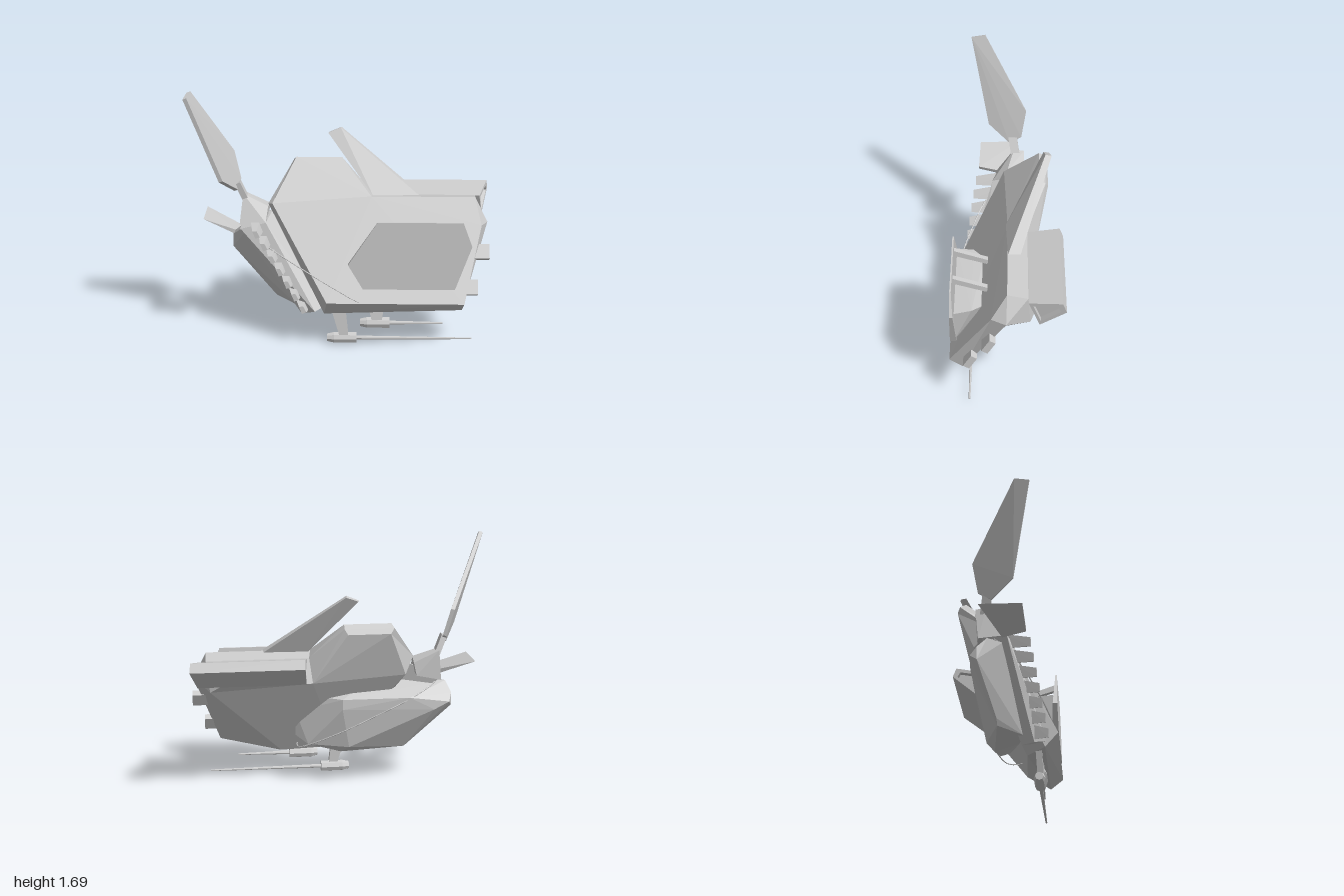
import * as THREE from 'three';
import { ConvexGeometry } from 'three/addons/geometries/ConvexGeometry.js';

const grey = new THREE.MeshStandardMaterial({ color: 0xcccccc, flatShading: true });

export function createModel() {
  const model = new THREE.Group();
  const add = (name, geometry) => {
    const mesh = new THREE.Mesh(geometry, grey);
    mesh.name = name;
    model.add(mesh);
    return mesh;
  };
  // Faceted solid through its corner points
  const solid = (name, points) => add(name, new ConvexGeometry(points.map(p => new THREE.Vector3(...p))));
  // Flat outline thickened by an offset vector
  const slab = (name, outline, offset) =>
    solid(name, [...outline, ...outline.map(p => p.map((c, i) => c + offset[i]))]);

  // Hull: three matching outlines from front to back
  add('hull', loft([
    [[-.46, .91, .02], [-.31, 1.168, -.215], [0, 1.168, -.215], [.2, .955, -.006],
      [.89, .955, -.006], [.93, .79, .094], [.81, .335, .366], [-.09, .335, .366]],
    [[-.49, .895, -.03], [-.325, 1.145, -.255], [0, 1.145, -.255], [.22, .93, -.135],
      [.895, .93, -.135], [.975, .785, 0], [.8, .262, .28], [-.11, .23, .28]],
    [[-.42, .8, -.15], [-.3, 1.11, -.272], [-.02, 1.11, -.272], [.2, .77, -.19],
      [.8, .77, -.19], [.87, .72, -.15], [.39, .207, .14], [0, .215, .16]],
  ]));

  // Shield on the sloping front, with its mount and two struts
  const hexagon = [[.05, .6], [.147, .435], [.745, .435], [.85, .73], [.79, .89], [.24, .89]];
  solid('shield', hexagon.flatMap(([x, y]) => [
    [x, y, .362 - (y - .435) * .02], [x, y, .32 + (y - .435) * .05]]));
  solid('shieldMount', [[.12, .69, .33], [.78, .7, .33], [.125, .685, .22], [.75, .7, .22],
    [.2, .68, .15], [.68, .68, .15], [.15, .45, .33], [.74, .45, .33], [.3, .5, .2], [.6, .5, .2]]);
  for (const x of [.295, .57]) {
    slab('shieldStrut', [[x, .84, .34], [x, .8, .34], [x, .73, .12], [x, .765, .12]], [.035, 0, 0]);
  }

  // Rear pod
  solid('pod', [[-.74, .65, -.1], [-.74, .565, -.1], [-.71, .72, -.04], [-.64, .72, .05],
    [-.72, .6, -.145], [-.45, .64, -.16], [0, .64, -.155], [0, .57, -.155], [-.62, .55, -.15],
    [.2, .64, -.03], [.3, .52, .015], [.3, .35, .03], [.22, .3, -.03], [0, .245, -.05],
    [-.05, .29, -.1], [-.44, .25, 0], [-.47, .285, 0], [-.3, .24, .15], [-.15, .24, .12], [-.2, .73, 0]]);

  // Slanted spine with its head block
  solid('spine', [[-.67, .75, .08], [-.5, .8, .1], [-.17, .245, .29], [-.26, .205, .22],
    [-.66, .75, -.08], [-.46, .85, -.05], [-.1, .255, .2], [-.25, .19, .14]]);
  solid('spineHead', [[-.66, .955, -.05], [-.65, .95, -.12], [-.49, .885, 0], [-.48, .87, -.12],
    [-.68, .75, .08], [-.5, .8, .1], [-.67, .74, -.1], [-.5, .78, -.12]]);

  // Row of wedge teeth along the spine
  for (let i = 0; i < 7; i++) {
    const x = -.56 + i * .051, y = .76 - i * .082, z = .22 + i * .015;
    solid('tooth', [
      ...[[-.042, .036], [.018, .04], [.046, -.02], [-.008, -.046]].map(([a, b]) => [x + a, y + b, z - .16 + i * .012]),
      ...[[-.02, .02], [.008, .022], [.03, -.02], [0, -.03]].map(([a, b]) => [x + a, y + b, z])]);
  }

  // Tall blade, its stem and the small winglet
  slab('tallBlade', [[-1, 1.665, .245], [-.985, 1.69, .15], [-.745, 1.225, -.133],
    [-.7, 1.04, -.1], [-.715, .985, -.015], [-.8, 1.085, .128]], [.025, .008, 0]);
  slab('bladeStem', [[-.71, 1.03, -.07], [-.71, 1.03, -.01], [-.66, .91, -.03], [-.66, .91, -.09]], [.035, .015, 0]);
  solid('winglet', [[-.905, .855, -.08], [-.9, .853, .19], [-.69, .785, .2], [-.7, .76, .2],
    [-.66, .77, .05], [-.67, .74, .05]]);

  // Upper fin, thicker at its root
  solid('upperFin', [[-.094, 1.33, -.24], [-.01, 1.365, -.25], [.515, .965, -.01], [.21, .965, .005],
    [-.085, 1.33, -.275], [-.005, 1.36, -.29], [.515, .965, -.09], [.22, .965, -.1]]);

  // Rear duct with slanted ends, recessed at both openings
  const profile = [[-.137, .924], [-.342, .975], [-.367, .915], [-.205, .77]];
  const opening = [[-.165, .908], [-.315, .944], [-.333, .91], [-.212, .8]];
  const ductEnds = z => [.93 - (z + .137) * .31, .235 - (z + .137) * .13];
  const ductShape = new THREE.Shape(profile.map(p => new THREE.Vector2(...p)));
  ductShape.holes.push(new THREE.Path(opening.map(p => new THREE.Vector2(...p))));
  const duct = new THREE.ExtrudeGeometry(ductShape, { depth: 1, bevelEnabled: false });
  const pos = duct.attributes.position;
  for (let i = 0; i < pos.count; i++) {
    const z = pos.getX(i);
    pos.setXYZ(i, THREE.MathUtils.lerp(...ductEnds(z), pos.getZ(i)), pos.getY(i), z);
  }
  duct.computeVertexNormals();
  add('rearDuct', duct);
  solid('ductCore', opening.flatMap(([z, y]) => {
    const [right, left] = ductEnds(z);
    return [[right - .04, y, z], [left + .04, y, z]];
  }));

  // Side nozzles
  for (const [x, y, z] of [[.905, .61, .11], [.825, .402, .23]]) {
    const nozzle = add('sideNozzle', new THREE.BoxGeometry(.16, .1, .045));
    nozzle.position.set(x, y, z);
    nozzle.rotation.x = -.54;
  }

  // Two guns hanging below: body, tail, barrel and pylon
  const rod = (name, r0, r1, x0, x1, y) => {
    const mesh = add(name, new THREE.CylinderGeometry(r1, r0, x1 - x0, 8));
    mesh.rotation.z = -Math.PI / 2;
    mesh.position.set((x0 + x1) / 2, y, .24);
  };
  for (const [x, y, tip] of [[-.09, .042, .875], [.13, .152, .68]]) {
    rod('gunTail', .027, .038, x, x + .045, y);
    rod('gunBody', .038, .038, x + .045, x + .195, y);
    rod('gunBarrel', .014, .006, x + .19, tip, y);
  }
  for (const [a, b, c, d, low] of [[-.065, .03, -.01, .05, .07], [.185, .285, .205, .275, .18]]) {
    slab('gunPylon', [[a, .26, .215], [b, .26, .215], [d, low, .225], [c, low, .225]], [0, 0, .04]);
  }

  // Thin cable looped around hull and pod in one sloping plane, given as x and z
  const loop = [[-.66, 0], [-.6, .07], [-.45, .165], [-.19, .28], [0, .34], [.08, .362], [.18, .335],
    [.26, .2], [.28, .02], [.2, -.045], [0, -.118], [-.2, -.143], [-.45, -.153], [-.6, -.1]];
  const path = new THREE.CatmullRomCurve3(
    loop.map(([x, z]) => new THREE.Vector3(x, .73 - (x + .65) * .5, z)), true);
  add('cable', new THREE.TubeGeometry(path, 60, .004, 5, true));

  return model;
}

// Joins outlines listed front to back and closes both ends
function loft(rings) {
  const n = rings[0].length, index = [];
  for (let r = 0; r < rings.length - 1; r++) {
    for (let i = 0; i < n; i++) {
      const a = r * n + i, b = r * n + (i + 1) % n;
      index.push(a, b, b + n, a, b + n, a + n);
    }
  }
  // End faces fan out from the inner corner
  const hub = 3, last = (rings.length - 1) * n;
  for (let k = 1; k < n - 1; k++) {
    const a = (hub + k) % n, b = (hub + k + 1) % n;
    index.push(hub, b, a, last + hub, last + a, last + b);
  }
  const geometry = new THREE.BufferGeometry();
  geometry.setAttribute('position', new THREE.Float32BufferAttribute(rings.flat(2), 3));
  geometry.setIndex(index);
  const faceted = geometry.toNonIndexed();
  faceted.computeVertexNormals();
  return faceted;
}
